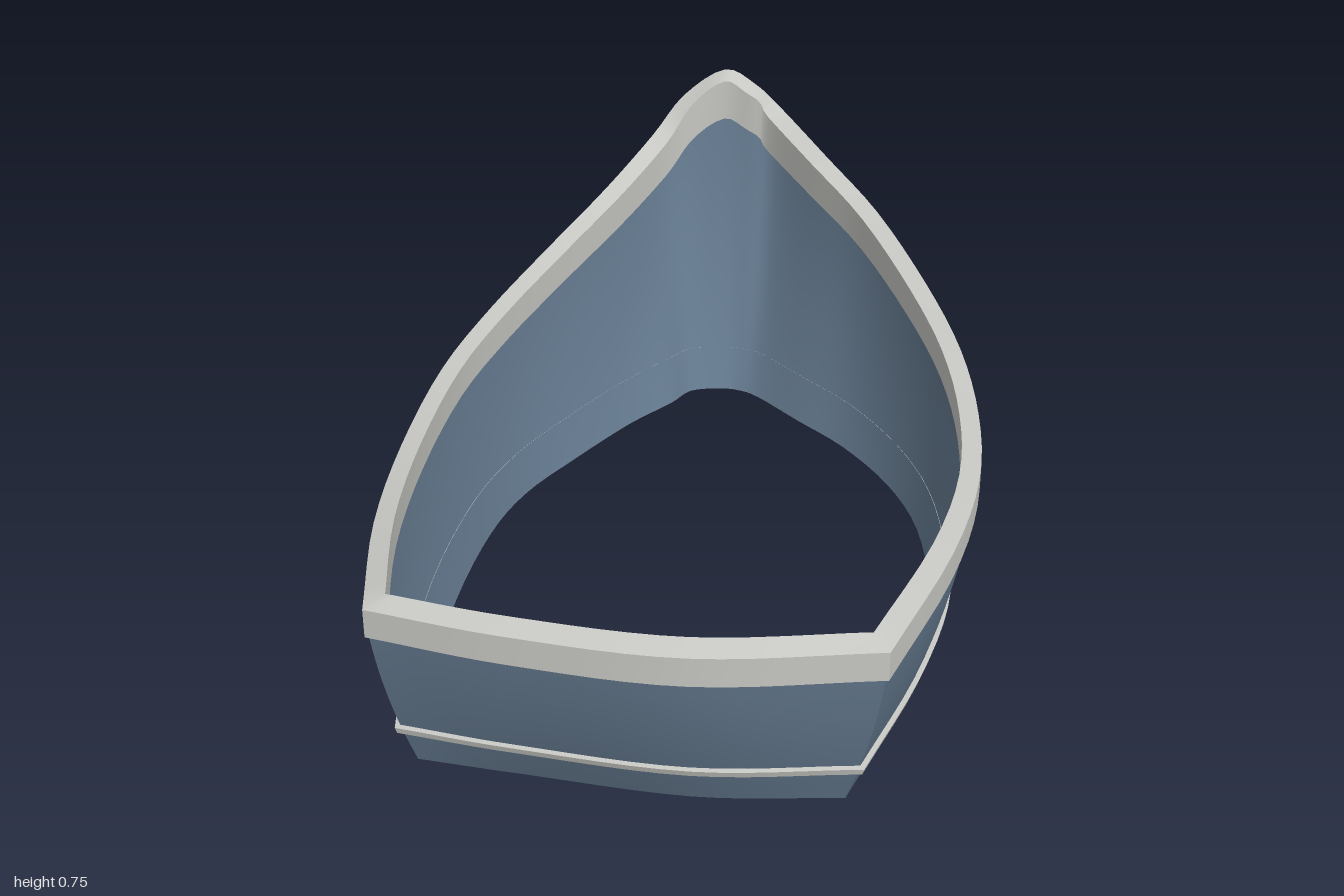
import * as THREE from 'three';
import { toCreasedNormals } from 'three/addons/utils/BufferGeometryUtils.js';

// Gunwale stations [x, y, z]: right front corner, round the bow, to the left front corner
const SIDE_TOP = [
  [0.375, 0.365, 0.955], [0.5, 0.37, 0.635], [0.566, 0.378, 0.37], [0.58, 0.395, 0.13],
  [0.555, 0.43, -0.105], [0.49, 0.475, -0.345], [0.386, 0.54, -0.6], [0.265, 0.605, -0.79],
  [0.15, 0.67, -0.955], [0.085, 0.72, -0.985], [0.01, 0.75, -1], [-0.09, 0.69, -0.975],
  [-0.164, 0.61, -0.9], [-0.265, 0.54, -0.715], [-0.386, 0.478, -0.475], [-0.48, 0.44, -0.24],
  [-0.55, 0.41, 0], [-0.587, 0.383, 0.29], [-0.59, 0.37, 0.58], [-0.555, 0.365, 0.87],
];
// Matching stations on the bottom edge [x, z]
const SIDE_BASE = [
  [0.31, 0.89], [0.41, 0.635], [0.48, 0.39], [0.498, 0.18], [0.48, -0.07], [0.42, -0.265],
  [0.32, -0.44], [0.21, -0.57], [0.11, -0.69], [0.06, -0.725], [0.01, -0.732], [-0.06, -0.715],
  [-0.106, -0.645], [-0.2, -0.53], [-0.32, -0.34], [-0.41, -0.18], [-0.465, 0], [-0.5, 0.27],
  [-0.505, 0.56], [-0.487, 0.815],
];
// Transom, left corner to right corner
const END_TOP = [[-0.555, 0.365, 0.87], [-0.29, 0.367, 0.945], [0.03, 0.368, 0.995], [0.375, 0.365, 0.955]];
const END_BASE = [[-0.487, 0.815], [-0.29, 0.85], [0.03, 0.9], [0.31, 0.89]];

// Samples a curve through the stations, leaving out its last point
function sample(stations, perSpan) {
  const pts = stations.map((p) => (p.length === 3 ? new THREE.Vector3(...p) : new THREE.Vector3(p[0], 0, p[1])));
  const curve = new THREE.CatmullRomCurve3(pts, false, 'catmullrom', 0.5);
  return curve.getPoints((pts.length - 1) * perSpan).slice(0, -1);
}

// Moves a closed loop outwards in plan by d, with mitred corners
function offset(loop, d) {
  const n = loop.length;
  const edgeNormal = (a, b) => new THREE.Vector3(a.z - b.z, 0, b.x - a.x).normalize();
  return loop.map((p, i) => {
    const n1 = edgeNormal(loop[(i + n - 1) % n], p);
    const n2 = edgeNormal(p, loop[(i + 1) % n]);
    const m = n1.clone().add(n2).normalize();
    return p.clone().addScaledVector(m, d / Math.max(0.5, m.dot(n1)));
  });
}

// Skins a stack of closed loops
function loft(loops, crease) {
  const n = loops[0].length;
  const index = [];
  for (let j = 0; j < loops.length - 1; j++) {
    for (let i = 0; i < n; i++) {
      const k = (i + 1) % n;
      const a = j * n + i, b = j * n + k, c = (j + 1) * n + k, d = (j + 1) * n + i;
      index.push(a, b, c, a, c, d);
    }
  }
  const geo = new THREE.BufferGeometry().setFromPoints(loops.flat());
  geo.setIndex(index);
  return toCreasedNormals(geo, crease);
}

export function createModel() {
  const hullBlue = new THREE.MeshStandardMaterial({ color: 0x63788d, side: THREE.DoubleSide });
  const trimGrey = new THREE.MeshStandardMaterial({ color: 0xc6c6c2 });
  hullBlue.name = 'hullBlue';
  trimGrey.name = 'trimGrey';

  const group = new THREE.Group();
  group.name = 'boatHull';
  const add = (name, geo, mat) => {
    const mesh = new THREE.Mesh(geo, mat);
    mesh.name = name;
    group.add(mesh);
  };

  const top = [...sample(SIDE_TOP, 4), ...sample(END_TOP, 6)];
  const base = [...sample(SIDE_BASE, 4), ...sample(END_BASE, 6)];
  const rimHeight = (i) => 0.058 + (top[i].y - 0.365) * 0.1;
  const lower = (loop) => loop.map((p, i) => p.clone().setY(p.y - rimHeight(i)));

  // Hull: flared, gently bulging skin from the open bottom up to the rim
  const hullTop = offset(top, -0.006).map((p, i) => p.setY(p.y - rimHeight(i) + 0.01));
  const hullPoint = (i, t) => {
    const f = 1.5 * t - 0.5 * t * t;
    const p = base[i].clone().lerp(hullTop[i], f);
    return p.setY(hullTop[i].y * t);
  };
  const hullLoops = [];
  for (let j = 0; j <= 8; j++) hullLoops.push(base.map((_, i) => hullPoint(i, j / 8)));
  add('hull', loft(hullLoops, 0.6), hullBlue);

  // Gunwale rim: box section, top face tilted towards the bow
  const inner = offset(top, -0.04).map((p) => p.setY(p.y + p.z * 0.018));
  add('gunwaleRim', loft([lower(top), top, inner, lower(inner), lower(top)], 0.6), trimGrey);

  // Rubbing strip: thin band round the lower hull
  const ringAt = (y, d) => offset(base.map((_, i) => hullPoint(i, y / hullTop[i].y)), d);
  const strip = [ringAt(0.075, -0.001), ringAt(0.077, 0.01), ringAt(0.09, 0.01), ringAt(0.092, -0.001)];
  add('rubbingStrip', loft(strip, 0.6), trimGrey);

  return group;
}
